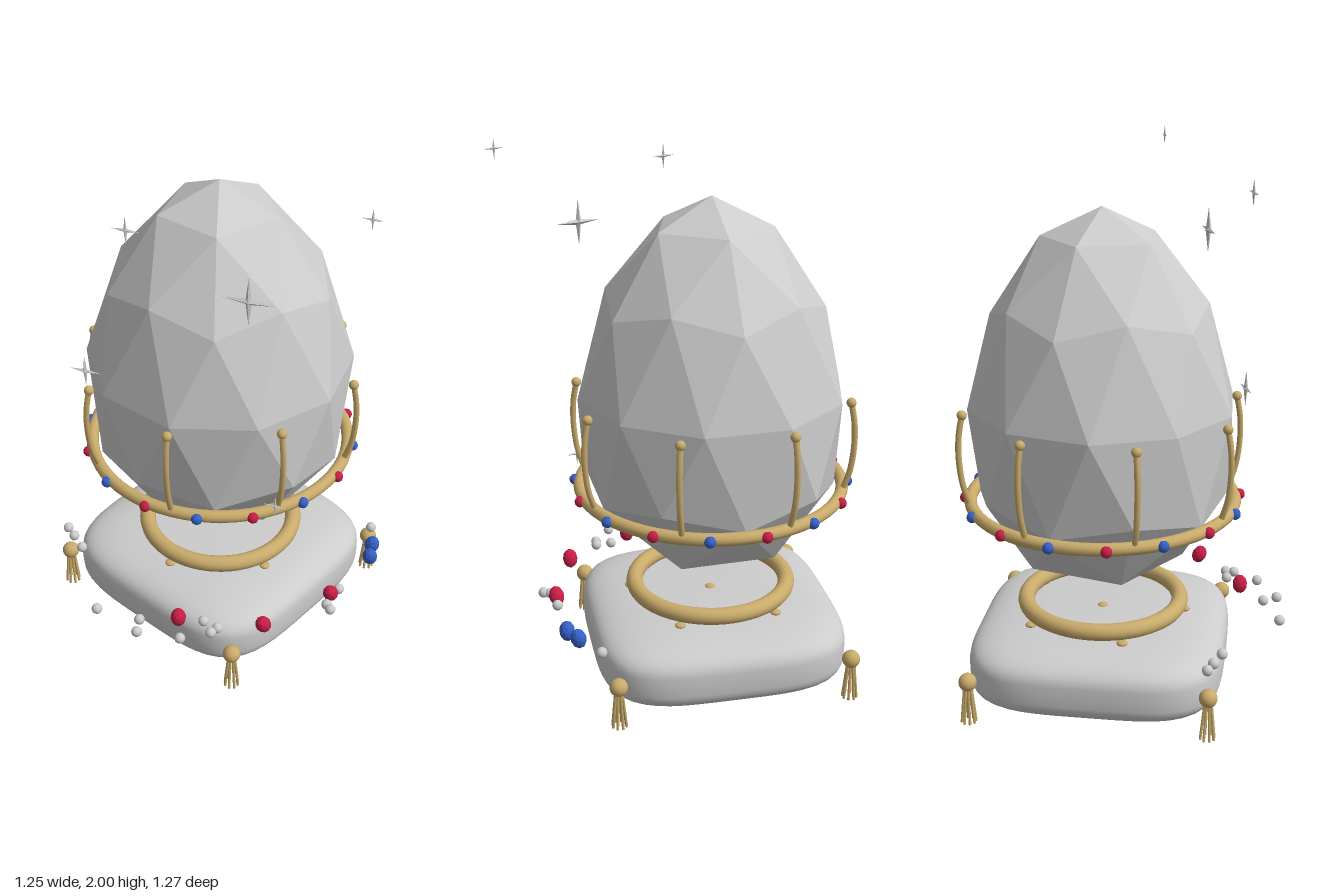
import * as THREE from 'three';
import { mergeVertices, mergeGeometries } from 'three/addons/utils/BufferGeometryUtils.js';

const colour = (name, hex) => {
  const m = new THREE.MeshStandardMaterial({ color: hex });
  m.name = name;
  return m;
};
const CX = -0.04, CZ = -0.055; // axis of the egg, rings and cushion

// Faceted egg: subdivided icosahedron standing on a corner, narrower towards the top
function eggGeometry() {
  const g = new THREE.IcosahedronGeometry(1, 1);
  g.rotateX(-Math.atan2((1 + Math.sqrt(5)) / 2, 1));
  g.rotateY(Math.PI / 2);
  const p = g.attributes.position;
  for (let i = 0; i < p.count; i++) {
    const n = p.getY(i), w = 0.49 * (1 - 0.18 * n);
    p.setXYZ(i, p.getX(i) * w, 1.1 + 0.7 * n, p.getZ(i) * w);
  }
  g.computeVertexNormals();
  return g;
}

// Pillow: a lathe whose round plan is remapped to a turned, rounded square
function cushionGeometry() {
  const profile = [], pw = (v, e) => Math.sign(v) * Math.pow(Math.abs(v), e);
  for (let i = 0; i <= 32; i++) {
    const t = -Math.PI / 2 + (i / 32) * Math.PI;
    const r = i === 0 || i === 32 ? 0 : pw(Math.cos(t), 0.55);
    profile.push(new THREE.Vector2(r, 0.145 + 0.137 * pw(Math.sin(t), 0.55)));
  }
  let g = new THREE.LatheGeometry(profile, 72);
  const p = g.attributes.position, turn = THREE.MathUtils.degToRad(21);
  for (let i = 0; i < p.count; i++) {
    const x = p.getX(i), z = p.getZ(i), a = Math.atan2(z, x) - turn;
    const k = 0.47 / Math.pow(Math.cos(a) ** 4 + Math.sin(a) ** 4, 0.25);
    p.setXYZ(i, x * k, p.getY(i), z * k);
  }
  g.deleteAttribute('uv');
  g.deleteAttribute('normal');
  g = mergeVertices(g);
  g.computeVertexNormals();
  return g;
}

export function createModel() {
  const root = new THREE.Group();
  root.name = 'jewelledEgg';
  const silver = colour('silverGrey', 0xcccccc);
  const gold = colour('gold', 0xc9ab6b);
  const ruby = colour('rubyRed', 0xc81e46);
  const sapphire = colour('sapphireBlue', 0x3560c8);

  const add = (name, geo, mat, x = 0, y = 0, z = 0, parent = root) => {
    const m = new THREE.Mesh(geo, mat);
    m.name = name;
    m.position.set(x, y, z);
    parent.add(m);
    return m;
  };
  const group = (name, x = 0, y = 0, z = 0) => {
    const g = new THREE.Group();
    g.name = name;
    g.position.set(x, y, z);
    root.add(g);
    return g;
  };

  // Egg and cushion
  add('egg', eggGeometry(), silver, CX, 0, CZ);
  add('cushion', cushionGeometry(), silver, CX, 0, CZ);

  // Ring lying on the cushion
  const baseRing = new THREE.TorusGeometry(0.29, 0.031, 16, 64).rotateX(Math.PI / 2);
  add('baseRing', baseRing, gold, CX, 0.318, CZ);

  // Tufting buttons: one in the middle, five around it
  const button = new THREE.SphereGeometry(0.02, 12, 8).scale(1, 0.5, 1);
  const buttons = group('cushionButtons', CX, 0.281, CZ);
  add('button', button, gold, 0, 0, 0, buttons);
  for (let i = 0; i < 5; i++) {
    const a = Math.PI / 5 + (i * Math.PI * 2) / 5;
    add('button', button, gold, Math.cos(a) * 0.31, 0, Math.sin(a) * 0.31, buttons);
  }

  // Belt around the egg with alternating stones
  const belt = group('belt', CX, 0, CZ);
  add('beltRing', new THREE.TorusGeometry(0.486, 0.023, 12, 64).rotateX(Math.PI / 2), gold, 0, 0.73, 0, belt);
  const stone = new THREE.IcosahedronGeometry(0.021, 1);
  for (let i = 0; i < 16; i++) {
    const a = ((i + 0.5) * Math.PI) / 8;
    add('beltStone', stone, i % 2 ? sapphire : ruby, Math.cos(a) * 0.506, 0.73, Math.sin(a) * 0.506, belt);
  }

  // Eight curved prongs with ball tips
  const prongPath = new THREE.CatmullRomCurve3(
    [[0.487, 0.73], [0.515, 0.82], [0.526, 0.93], [0.522, 1.01], [0.509, 1.08]]
      .map(([r, y]) => new THREE.Vector3(r, y, 0)));
  const prong = new THREE.TubeGeometry(prongPath, 20, 0.011, 8);
  const tip = new THREE.SphereGeometry(0.018, 14, 10);
  for (let i = 0; i < 8; i++) {
    const g = group('prong', CX, 0, CZ);
    g.rotation.y = (i * Math.PI) / 4;
    add('prongStem', prong, gold, 0, 0, 0, g);
    add('prongTip', tip, gold, 0.509, 1.08, 0, g);
  }

  // Corner tassels: a ball over a flared bundle of strands
  const up = new THREE.Vector3(0, 1, 0), strands = [];
  for (let i = 0; i < 8; i++) {
    const a = (i * Math.PI) / 4;
    const top = new THREE.Vector3(Math.cos(a) * 0.012, 0.145, Math.sin(a) * 0.012);
    const end = new THREE.Vector3(Math.cos(a) * 0.026, 0.002, Math.sin(a) * 0.026);
    const dir = top.clone().sub(end);
    const s = new THREE.CylinderGeometry(0.005, 0.005, dir.length(), 6);
    s.applyQuaternion(new THREE.Quaternion().setFromUnitVectors(up, dir.clone().normalize()));
    s.translate(...top.add(end).multiplyScalar(0.5).toArray());
    strands.push(s);
  }
  const fringe = mergeGeometries(strands);
  const knob = new THREE.SphereGeometry(0.033, 18, 12);
  for (let i = 0; i < 4; i++) {
    const a = THREE.MathUtils.degToRad(65.5 + i * 90);
    const g = group('tassel', CX + Math.cos(a) * 0.607, 0, CZ + Math.sin(a) * 0.607);
    add('tasselBall', knob, gold, 0, 0.162, 0, g);
    add('tasselFringe', fringe, gold, 0, 0, 0, g);
  }

  // Loose pearls
  const pearl = new THREE.SphereGeometry(0.02, 14, 10);
  [[-0.3, 0.56], [-0.13, 0.555], [-0.115, 0.615], [0.045, 0.59], [0.095, 0.48], [0.14, 0.525],
    [0.155, 0.495], [-0.597, 0.19], [-0.555, 0.225], [-0.497, 0.275], [0.515, 0.145],
    [0.495, 0.24], [0.515, 0.26], [0.537, -0.235]]
    .forEach(([x, z]) => add('pearl', pearl, silver, x, 0.275, z));

  // Loose gems
  const gem = new THREE.IcosahedronGeometry(1, 1).scale(0.029, 0.038, 0.029);
  gem.computeVertexNormals();
  [[0.005, 0.505, ruby], [0.31, 0.43, ruby], [0.495, 0.19, ruby],
    [0.57, -0.125, sapphire], [0.58, -0.057, sapphire]]
    .forEach(([x, z, mat], i) => {
      add('looseGem', gem, mat, x, 0.287, z).rotation.set(0.25 * (i % 3), i, 0.2 * (i % 2));
    });

  // Floating four-pointed sparkles
  const spike = new THREE.OctahedronGeometry(1, 0);
  const sparkle = mergeGeometries([
    spike.clone().scale(1, 0.13, 0.13), spike.clone().scale(0.13, 1, 0.13)]);
  sparkle.computeVertexNormals();
  [[0.585, 1.963, 0.335, 0.036], [-0.157, 1.845, 0.452, 0.049], [0.232, 1.65, 0.413, 0.087],
    [-0.373, 1.215, 0.372, 0.062], [0.312, 0.78, 0.335, 0.046]]
    .forEach(([x, y, z, s]) => add('sparkle', sparkle, silver, x, y, z).scale.setScalar(s));

  return root;
}
